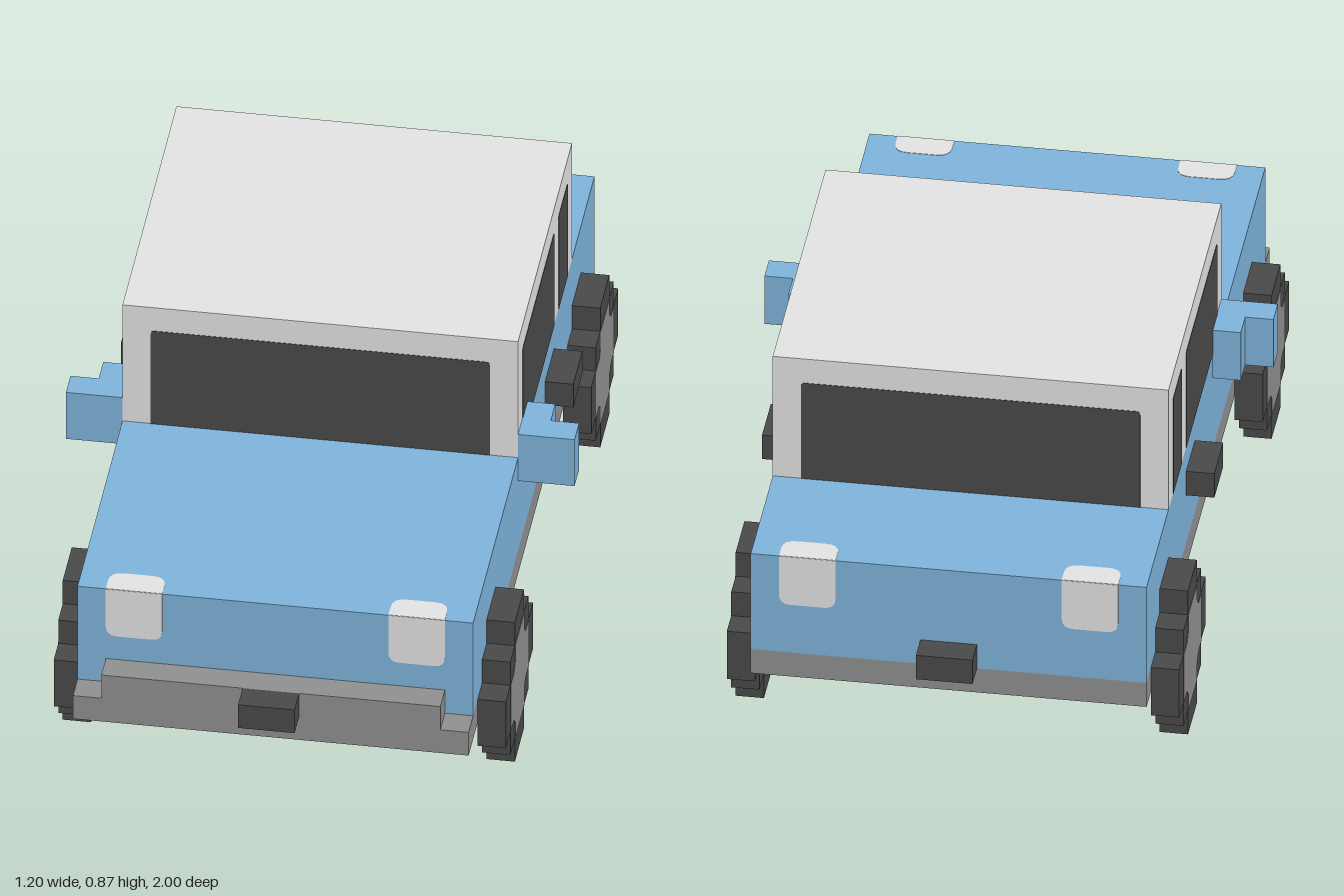
import * as THREE from 'three';

const U = 1 / 15; // one block
const T = 0.001;  // thickness of applied plates

const material = (name, color) => {
  const m = new THREE.MeshStandardMaterial({ color });
  m.name = name;
  return m;
};

export function createModel() {
  const blue = material('blue paint', 0x7fb4dc);
  const light = material('light grey', 0xe4e4e4);
  const grey = material('mid grey', 0x909090);
  const dark = material('dark grey', 0x4a4a4a);
  const model = new THREE.Group();
  model.name = 'car';

  const add = (name, geometry, mat, parent = model) => {
    const mesh = new THREE.Mesh(geometry, mat);
    mesh.name = name;
    parent.add(mesh);
    return mesh;
  };

  // Box given by its limits in blocks
  const box = (name, mat, x0, x1, y0, y1, z0, z1) => {
    const g = new THREE.BoxGeometry((x1 - x0) * U, (y1 - y0) * U, (z1 - z0) * U);
    g.translate((x0 + x1) / 2 * U, (y0 + y1) / 2 * U, (z0 + z1) / 2 * U);
    return add(name, g, mat);
  };

  // Thin plate with a straight base on y = 0 and two rounded upper corners
  const plate = (name, mat, w, h, r, parent) => {
    const a = w * U / 2, b = h * U, c = r * U;
    const s = new THREE.Shape();
    s.moveTo(-a, 0).lineTo(a, 0).lineTo(a, b - c);
    s.quadraticCurveTo(a, b, a - c, b).lineTo(c - a, b);
    s.quadraticCurveTo(-a, b, -a, b - c);
    const g = new THREE.ExtrudeGeometry(s, { depth: T, bevelEnabled: false, curveSegments: 4 });
    return add(name, g, mat, parent);
  };

  // Body and cabin
  box('body', blue, -7, 7, 4, 8, -14, 13);
  box('cabin', light, -7, 7, 8, 13, -9, 3);

  // Painted floor flush with the skirt around it, and stepped front bumper
  box('floor', blue, -6, 6, 3, 4, -13, 12);
  box('rearSkirt', grey, -7, 7, 3, 4, -14, -13);
  for (const s of [-1, 1]) box('sideSkirt', grey, s * 6.5 - 0.5, s * 6.5 + 0.5, 3, 4, -13, 12);
  box('bumperLower', grey, -7, 7, 3, 4, 12, 14);
  box('bumperUpper', grey, -6, 6, 4, 5, 13, 14);
  box('frontPlate', dark, -1, 1, 4, 5, 14, 15);
  box('rearPlate', dark, -1, 1, 4, 5, -15, -14);

  // Lamps wrap over the hood and tail edges; windscreens on the cabin ends
  for (const [end, bodyZ, cabinZ, turn] of [['front', 13, 3, 0], ['rear', -14, -9, Math.PI]]) {
    const lamps = new THREE.Group();
    lamps.name = end + 'Lamps';
    lamps.position.set(0, 8 * U, bodyZ * U);
    lamps.rotation.y = turn;
    model.add(lamps);
    for (const s of [-1, 1]) {
      const face = plate('lampFace', light, 2, 2, 0.4, lamps);
      face.rotation.z = Math.PI;
      face.position.x = s * 5 * U;
      const top = plate('lampTop', light, 2, 1, 0.5, lamps);
      top.rotation.x = -Math.PI / 2;
      top.position.x = s * 5 * U;
    }
    const screen = plate(end + 'Windscreen', dark, 12, 4, 0.15, model);
    screen.position.set(0, 8 * U, cabinZ * U);
    screen.rotation.y = turn;
  }

  // Side windows, mirrors and door handles
  for (const s of [-1, 1]) {
    for (const [z, w] of [[-1.5, 7], [-7, 2]]) {
      const pane = plate('sideWindow', dark, w, 4, 0.15, model);
      pane.position.set(s * 7 * U, 8 * U, z * U);
      pane.rotation.y = s * Math.PI / 2;
    }
    box('mirrorArm', blue, s * 7.5 - 0.5, s * 7.5 + 0.5, 7, 9, 1, 3);
    box('mirror', blue, s * 8.5 - 0.5, s * 8.5 + 0.5, 7, 9, 2, 3);
    box('doorHandle', dark, s * 7.5 - 0.5, s * 7.5 + 0.5, 6, 7, -5, -3);
  }

  // Outline repeated in four quarter turns
  const quartered = (points) => {
    const all = [];
    const centre = new THREE.Vector2();
    for (let q = 0; q < 4; q++) {
      for (const [x, y] of points) {
        all.push(new THREE.Vector2(x * U, y * U).rotateAround(centre, q * Math.PI / 2));
      }
    }
    return new THREE.Shape(all);
  };
  const disc = (points, depth) => {
    const g = new THREE.ExtrudeGeometry(quartered(points), { depth, bevelEnabled: false });
    g.translate(0, 0, -depth / 2);
    return g.rotateY(Math.PI / 2);
  };

  // Stepped wheels with a hub showing on both faces
  const tyre = disc([[3, -1], [3, 1], [2, 1], [2, 2], [1, 2]], U);
  const hub = disc([[2, -1], [2, 1], [1.3, 1], [1, 1.3]], U + 2 * T);
  for (const s of [-1, 1]) {
    for (const [end, z] of [['front', 9], ['rear', -10]]) {
      const wheel = new THREE.Group();
      wheel.name = end + 'Wheel';
      wheel.position.set(s * 7.5 * U, 3 * U, z * U);
      add('tyre', tyre, dark, wheel);
      add('hub', hub, grey, wheel);
      model.add(wheel);
    }
  }
  return model;
}
